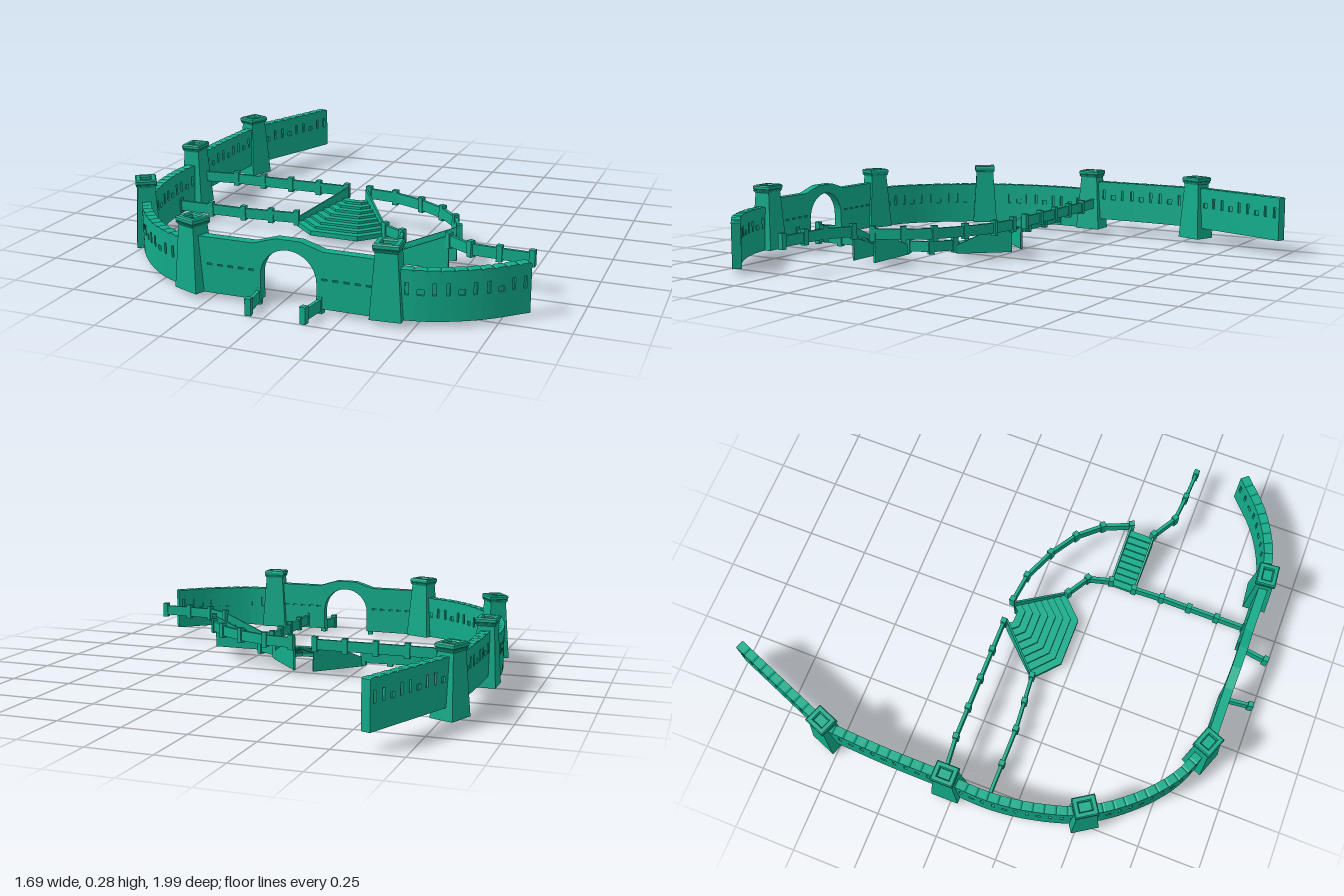
import * as THREE from 'three';
import { mergeGeometries } from 'three/addons/utils/BufferGeometryUtils.js';

const material = new THREE.MeshStandardMaterial({ color: 0x12ab8a, flatShading: true, side: THREE.DoubleSide });
const THICK = 0.036, CORE = 0.02;
const LOW = 0.03, HIGH = 0.11;

function mesh(geometry, name, parent) {
  const m = new THREE.Mesh(geometry, material);
  m.name = name;
  parent.add(m);
  return m;
}

const polygon = (pts) => new THREE.Shape(pts.map((p) => new THREE.Vector2(p[0], p[1])));
const rectPath = (x0, y0, x1, y1) => new THREE.Path([[x0, y0], [x0, y1], [x1, y1], [x1, y0]].map((p) => new THREE.Vector2(...p)));

// Extrusion centred on its thickness
function slab(shape, depth, curveSegments = 12) {
  return new THREE.ExtrudeGeometry(shape, { depth, bevelEnabled: false, curveSegments }).translate(0, 0, -depth / 2);
}

const curveOf = (pts) => new THREE.CatmullRomCurve3(pts.map((p) => new THREE.Vector3(p[0], 0, p[1])), false, 'centripetal');

// Wall of repeated slit panels, bent to follow a curve on the ground
function curtainWall(curve, y0, height, parent) {
  const length = curve.getLength();
  const count = Math.round(length / 0.045);
  const w = length / count;
  const parts = [];
  for (let i = 0; i < count; i++) {
    const outline = [[0, 0], [w, 0], [w, height - 0.004], [w * 0.85, height], [w * 0.15, height], [0, height - 0.004]];
    const panel = polygon(outline);
    const wide = i % 3 === 2;
    const half = wide ? 0.011 : 0.006;
    panel.holes.push(rectPath(w / 2 - half, 0.092, w / 2 + half, wide ? 0.112 : 0.135));
    const pieces = [slab(panel, THICK), slab(polygon(outline), CORE)];
    for (const g of pieces) {
      const pos = g.attributes.position;
      for (let k = 0; k < pos.count; k++) {
        const t = Math.min(1, (i * w + pos.getX(k)) / length);
        const p = curve.getPointAt(t), d = curve.getTangentAt(t), off = pos.getZ(k);
        pos.setXYZ(k, p.x - d.z * off, y0 + pos.getY(k), p.z + d.x * off);
      }
      g.computeVertexNormals();
      parts.push(g);
    }
  }
  mesh(mergeGeometries(parts), 'curtainWall', parent);
}

// Four-sided tapering block
function frustum(w0, d0, w1, d1, y0, y1) {
  const g = new THREE.BoxGeometry(1, 1, 1);
  const pos = g.attributes.position;
  for (let i = 0; i < pos.count; i++) {
    const top = pos.getY(i) > 0;
    pos.setXYZ(i, pos.getX(i) * (top ? w1 : w0), top ? y1 : y0, pos.getZ(i) * (top ? d1 : d0));
  }
  g.computeVertexNormals();
  return g;
}

function tower(x, z, dx, dz, parent) {
  const t = new THREE.Group();
  t.name = 'tower';
  mesh(frustum(0.112, 0.094, 0.078, 0.066, 0.018, 0.256), 'towerBody', t);
  mesh(frustum(0.08, 0.068, 0.092, 0.08, 0.254, 0.264), 'towerCornice', t);
  // Parapet ring with a sunken roof
  const ring = polygon([[-0.042, -0.036], [0.042, -0.036], [0.042, 0.036], [-0.042, 0.036]]);
  ring.holes.push(rectPath(-0.028, -0.022, 0.028, 0.022));
  const g = new THREE.ExtrudeGeometry(ring, { depth: 0.011, bevelSize: 0.004, bevelThickness: 0.005, bevelSegments: 1 });
  mesh(g.rotateX(-Math.PI / 2).translate(0, 0.269, 0), 'towerParapet', t);
  t.position.set(x, 0, z);
  t.rotation.y = Math.atan2(-dz, dx);
  parent.add(t);
}

// Straight wall pierced by the arched gateway
function gateWall(parent) {
  const outline = [[-0.31, 0.018], [-0.06, 0.018], [-0.06, 0.108]];
  for (let i = 1; i <= 16; i++) {
    const a = Math.PI * (1 - i / 16);
    outline.push([0.045 + 0.105 * Math.cos(a), 0.108 + 0.105 * Math.sin(a)]);
  }
  outline.push([0.15, 0.018], [0.4, 0.018], [0.4, 0.224], [0.175, 0.224], [0.13, 0.238], [0.09, 0.25],
    [0, 0.25], [-0.04, 0.238], [-0.085, 0.224], [-0.31, 0.224]);
  const face = polygon(outline);
  for (const x of [-0.255, -0.215, -0.175, -0.135, -0.095, 0.18, 0.22, 0.26, 0.3, 0.34]) {
    face.holes.push(rectPath(x - 0.01, 0.122, x + 0.01, 0.128));
  }
  const g = mergeGeometries([slab(face, THICK), slab(polygon(outline), CORE)]);
  mesh(g, 'gateWall', parent).position.z = 0.872;
}

// Low rail along a polyline, with evenly spaced posts
function railing(pts, y, parent, spacing = 0.125) {
  const group = new THREE.Group();
  group.name = 'railing';
  const post = (x, z, r) => {
    const p = mesh(new THREE.BoxGeometry(0.022, 0.062, 0.022), 'railPost', group);
    p.position.set(x, y + 0.026, z);
    p.rotation.y = r;
  };
  pts.slice(1).forEach(([x1, z1], i) => {
    const [x0, z0] = pts[i];
    const len = Math.hypot(x1 - x0, z1 - z0), r = Math.atan2(z0 - z1, x1 - x0);
    const bar = mesh(new THREE.BoxGeometry(len, 0.042, 0.013), 'rail', group);
    bar.position.set((x0 + x1) / 2, y + 0.025, (z0 + z1) / 2);
    bar.rotation.y = r;
    const n = Math.max(1, Math.round(len / spacing));
    for (let k = i ? 1 : 0; k <= n; k++) post(x0 + (x1 - x0) * k / n, z0 + (z1 - z0) * k / n, r);
  });
  parent.add(group);
}

// Open stepped surface: every line runs from its upper to its lower point
function steps(lines, count, parent) {
  const pos = [], idx = [], n = lines.length;
  const row = (t, y) => lines.forEach(([a, b]) => pos.push(a[0] + (b[0] - a[0]) * t, y, a[1] + (b[1] - a[1]) * t));
  for (let i = 0; i < count; i++) {
    const y = HIGH - (HIGH - LOW) * i / count;
    row(i / count, y);
    row((i + 1) / count, y);
  }
  row(1, 0.02);
  for (let r = 0; r < count * 2; r++) {
    for (let k = 0; k < n - 1; k++) {
      const a = r * n + k, b = a + n;
      idx.push(a, b, a + 1, a + 1, b, b + 1);
    }
  }
  const g = new THREE.BufferGeometry();
  g.setAttribute('position', new THREE.Float32BufferAttribute(pos, 3));
  g.setIndex(idx);
  const flat = g.toNonIndexed();
  flat.computeVertexNormals();
  mesh(flat, 'steps', parent);
}

// Sloping side wall of a staircase
function stairCheek(top, foot, parent) {
  const len = Math.hypot(foot[0] - top[0], foot[1] - top[1]);
  const side = polygon([[0, 0.02], [len, 0.02], [len, LOW + 0.025], [0, HIGH + 0.045]]);
  const m = mesh(slab(side, 0.008), 'stairCheek', parent);
  m.position.set(top[0], 0, top[1]);
  m.rotation.y = Math.atan2(top[1] - foot[1], foot[0] - top[0]);
}

function staircase(name, lines, count, parent) {
  const s = new THREE.Group();
  s.name = name;
  steps(lines, count, s);
  stairCheek(...lines[0], s);
  stairCheek(...lines[lines.length - 1], s);
  parent.add(s);
}

export function createModel() {
  const model = new THREE.Group();
  model.name = 'walledCourtyard';

  // Outer walls
  curtainWall(curveOf([[-0.613, -0.985], [-0.785, -0.545]]), 0.064, 0.176, model);
  curtainWall(curveOf([[-0.79, -0.54], [-0.803, -0.28], [-0.806, -0.025]]), 0.064, 0.172, model);
  curtainWall(curveOf([[-0.806, -0.025], [-0.812, 0.15], [-0.79, 0.32], [-0.73, 0.51], [-0.61, 0.68],
    [-0.47, 0.8], [-0.32, 0.865]]), 0.018, 0.18, model);
  curtainWall(curveOf([[0.4, 0.872], [0.54, 0.845], [0.69, 0.77], [0.825, 0.652]]), 0.018, 0.18, model);
  gateWall(model);

  // Towers: position, then direction along the wall
  for (const t of [[-0.785, -0.545, 0.36, -0.93], [-0.806, -0.025, 0, 1], [-0.73, 0.51, 0.55, 0.85],
    [-0.33, 0.862, 0.93, 0.36], [0.402, 0.868, 1, -0.09]]) tower(...t, model);

  // Upper terrace railings
  railing([[-0.79, -0.045], [-0.63, -0.06], [-0.12, -0.06]], HIGH, model);
  railing([[-0.02, -0.06], [0.1, -0.045], [0.23, 0.01], [0.34, 0.08], [0.42, 0.17], [0.468, 0.28]], HIGH, model);
  railing([[0.46, 0.38], [0.56, 0.44], [0.67, 0.45], [0.79, 0.456]], HIGH, model);

  // Lower terrace railings
  railing([[-0.8, 0.14], [-0.5, 0.14], [-0.38, 0.13], [-0.27, 0.12]], LOW, model);
  railing([[0.12, 0.13], [0.21, 0.185], [0.235, 0.28]], LOW, model);
  railing([[0.235, 0.38], [0.24, 0.5], [0.238, 0.86]], LOW, model);

  // Rails flanking the approach to the gate
  railing([[-0.072, 0.88], [-0.06, 0.985]], 0.005, model);
  railing([[0.16, 0.88], [0.145, 0.985]], 0.005, model);

  // Fan-shaped staircase and straight staircase between the terraces
  staircase('fanStair', [[[-0.11, -0.05], [-0.27, 0.12]], [[-0.095, -0.03], [-0.17, 0.21]],
    [[-0.045, -0.03], [0.03, 0.21]], [[-0.03, -0.05], [0.12, 0.12]]], 8, model);
  staircase('straightStair', [[[0.46, 0.28], [0.23, 0.28]], [[0.46, 0.382], [0.23, 0.382]]], 9, model);

  return model;
}
